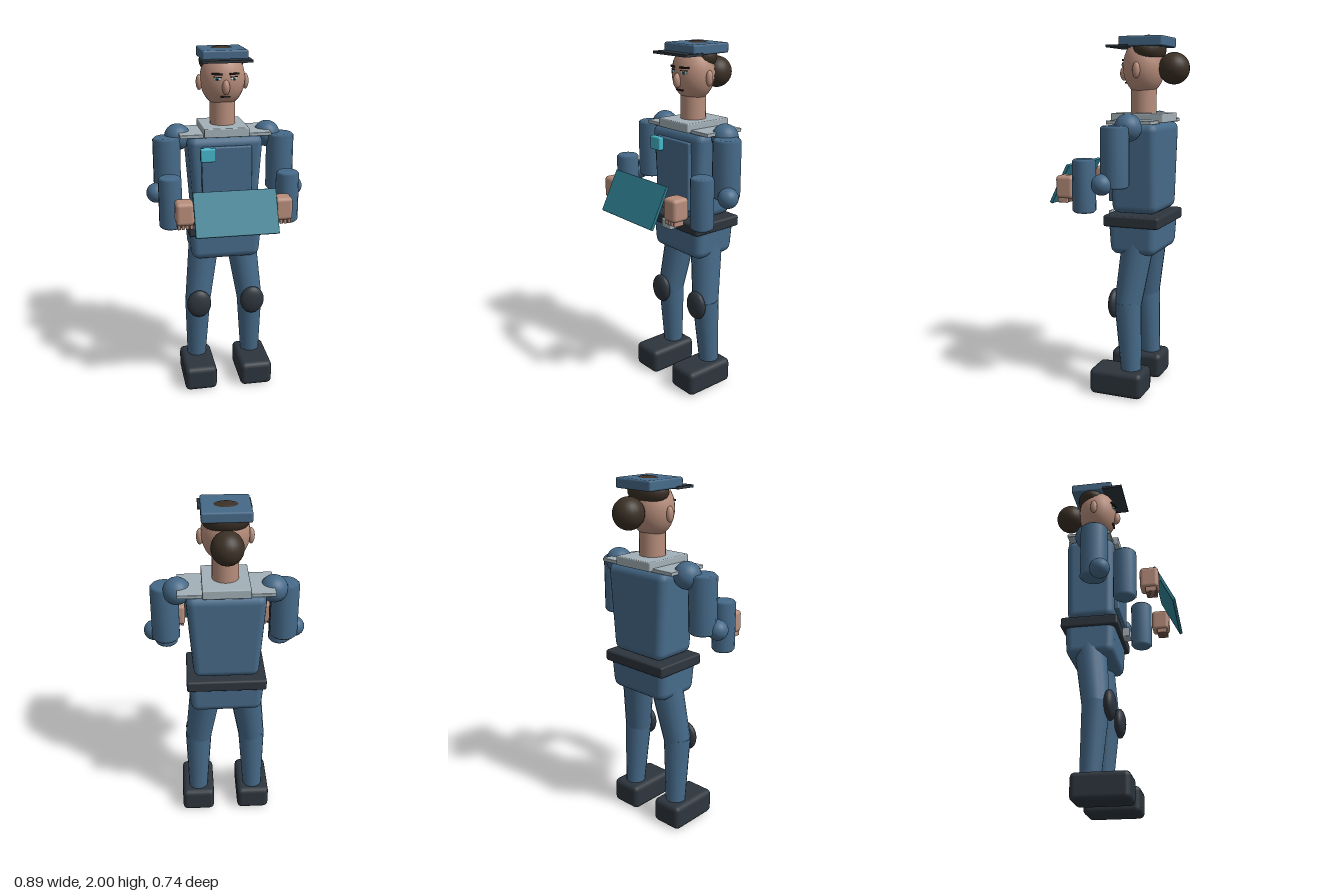
import * as THREE from 'three';
import { RoundedBoxGeometry } from 'three/addons/geometries/RoundedBoxGeometry.js';

const material = (name, color) => {
  const m = new THREE.MeshStandardMaterial({ color });
  m.name = name;
  return m;
};

export function createModel() {
  const model = new THREE.Group();
  model.name = 'officer';

  const cloth = material('blue cloth', 0x466a89);
  const skin = material('skin', 0xb88e7c);
  const dark = material('dark gear', 0x2d353d);
  const pale = material('pale grey', 0xa3b1b8);
  const teal = material('teal', 0x2f8094);
  const cyan = material('cyan', 0x45b6ca);
  const hair = material('brown hair', 0x3b3026);
  const white = material('eye white', 0xe0e0da);
  const ink = material('dark lines', 0x1f1a18);

  const add = (name, geometry, mat, x, y, z) => {
    const mesh = new THREE.Mesh(geometry, mat);
    mesh.name = name;
    mesh.position.set(x, y, z);
    model.add(mesh);
    return mesh;
  };
  const box = (name, mat, w, h, d, x, y, z) =>
    add(name, new THREE.BoxGeometry(w, h, d), mat, x, y, z);
  const rounded = (name, mat, w, h, d, r, x, y, z) =>
    add(name, new RoundedBoxGeometry(w, h, d, 2, r), mat, x, y, z);
  const ball = (name, mat, rx, ry, rz, x, y, z) =>
    add(name, new THREE.SphereGeometry(1, 24, 16).scale(rx, ry, rz), mat, x, y, z);

  // Narrows a box towards its bottom
  const taper = (mesh, height, bottomX, bottomZ) => {
    const p = mesh.geometry.attributes.position;
    for (let i = 0; i < p.count; i++) {
      const t = 0.5 - p.getY(i) / height;
      p.setX(i, p.getX(i) * (1 + (bottomX - 1) * t));
      p.setZ(i, p.getZ(i) * (1 + (bottomZ - 1) * t));
    }
    return mesh;
  };

  // Tapered limb from an upper to a lower point
  const limb = (name, mat, top, bottom, rTop, rBottom) => {
    const a = new THREE.Vector3(...top), b = new THREE.Vector3(...bottom);
    const axis = a.clone().sub(b);
    const mid = a.add(b).multiplyScalar(0.5);
    const geometry = new THREE.CylinderGeometry(rTop, rBottom, axis.length(), 16);
    const mesh = add(name, geometry, mat, mid.x, mid.y, mid.z);
    mesh.quaternion.setFromUnitVectors(new THREE.Vector3(0, 1, 0), axis.normalize());
    return mesh;
  };

  // Upright sleeve with slightly bevelled ends
  const sleeve = (name, r, h, x, y, z) => {
    const b = 0.012;
    const profile = [[0, -h / 2], [r - b, -h / 2], [r, -h / 2 + b], [r, h / 2 - b], [r - b, h / 2], [0, h / 2]];
    const geometry = new THREE.LatheGeometry(profile.map(q => new THREE.Vector2(...q)), 14);
    return add(name, geometry, cloth, x, y, z);
  };

  // Torso, vest panel and badge
  taper(rounded('torso', cloth, 0.425, 0.495, 0.28, 0.045, 0, 1.283, -0.115), 0.495, 0.83, 0.95);
  rounded('chestPanel', cloth, 0.28, 0.385, 0.06, 0.008, 0, 1.287, 0.015);
  rounded('badge', cyan, 0.085, 0.075, 0.035, 0.008, -0.109, 1.443, 0.0625);

  // Hips, belt and buckle
  taper(rounded('hips', cloth, 0.425, 0.22, 0.285, 0.045, 0, 0.917, -0.113), 0.22, 0.92, 0.93);
  rounded('belt', dark, 0.436, 0.063, 0.32, 0.012, 0, 0.997, -0.112);
  rounded('buckle', pale, 0.08, 0.055, 0.045, 0.006, 0, 0.997, 0.066);

  // Collar and neck
  rounded('collar', pale, 0.25, 0.05, 0.3, 0.006, 0, 1.555, -0.112);
  add('neck', new THREE.CylinderGeometry(0.071, 0.071, 0.17, 24), skin, 0, 1.645, -0.11);

  // Head, hair and hat
  ball('head', skin, 0.125, 0.155, 0.115, 0, 1.83, -0.11);
  ball('hair', hair, 0.125, 0.08, 0.09, 0, 1.92, -0.14);
  ball('hairBun', hair, 0.083, 0.086, 0.086, 0, 1.82, -0.283);
  rounded('hat', cloth, 0.25, 0.055, 0.25, 0.01, 0, 1.962, -0.13);
  box('hatVisor', dark, 0.274, 0.014, 0.12, 0, 1.938, 0);
  ball('nose', skin, 0.021, 0.04, 0.025, 0, 1.795, 0.005);
  box('mouth', ink, 0.054, 0.008, 0.009, 0, 1.743, -0.012);

  for (const s of [1, -1]) {
    // Face
    ball('ear', skin, 0.018, 0.043, 0.021, s * 0.129, 1.81, -0.112);
    box('eyebrow', ink, 0.058, 0.01, 0.009, s * 0.047, 1.866, -0.003).rotation.y = s * 0.38;
    ball('eye', white, 0.019, 0.009, 0.004, s * 0.045, 1.841, -0.003).rotation.y = s * 0.33;
    ball('iris', teal, 0.009, 0.009, 0.004, s * 0.046, 1.841, -0.0005).rotation.y = s * 0.33;
    ball('pupil', ink, 0.004, 0.005, 0.003, s * 0.0465, 1.841, 0.002);
    box('eyelid', ink, 0.042, 0.004, 0.008, s * 0.045, 1.85, -0.003).rotation.y = s * 0.35;

    // Shoulder and arm
    rounded('shoulderBoard', pale, 0.155, 0.02, 0.25, 0.004, s * 0.1775, 1.535, -0.113);
    ball('shoulder', cloth, 0.074, 0.074, 0.074, s * 0.255, 1.51, -0.115);
    sleeve('upperArm', 0.077, 0.325, s * 0.322, 1.36, -0.067);
    ball('elbow', cloth, 0.056, 0.056, 0.056, s * 0.389, 1.22, -0.02);
    sleeve('forearm', 0.064, 0.287, s * 0.326, 1.202, 0.108);

    // Hand with four fingers
    rounded('hand', skin, 0.098, 0.125, 0.102, 0.02, s * 0.266, 1.185, 0.236);
    for (let i = 0; i < 4; i++) {
      rounded('finger', skin, 0.018, 0.045, 0.06, 0.005, s * (0.233 + i * 0.022), 1.122, 0.246);
    }

    // Leg, knee pad and boot
    limb('thigh', cloth, [s * 0.103, 0.93, -0.128], [s * 0.157, 0.52, -0.078], 0.093, 0.076);
    limb('shin', cloth, [s * 0.157, 0.535, -0.078], [s * 0.167, 0.12, -0.102], 0.077, 0.056);
    ball('kneePad', dark, 0.072, 0.085, 0.035, s * 0.16, 0.52, -0.003);
    rounded('boot', dark, 0.192, 0.148, 0.312, 0.03, s * 0.168, 0.074, -0.036);
  }

  // Tablet tilted back between the hands
  rounded('tablet', teal, 0.447, 0.242, 0.018, 0.003, 0, 1.188, 0.308).rotation.x = -0.46;

  return model;
}
